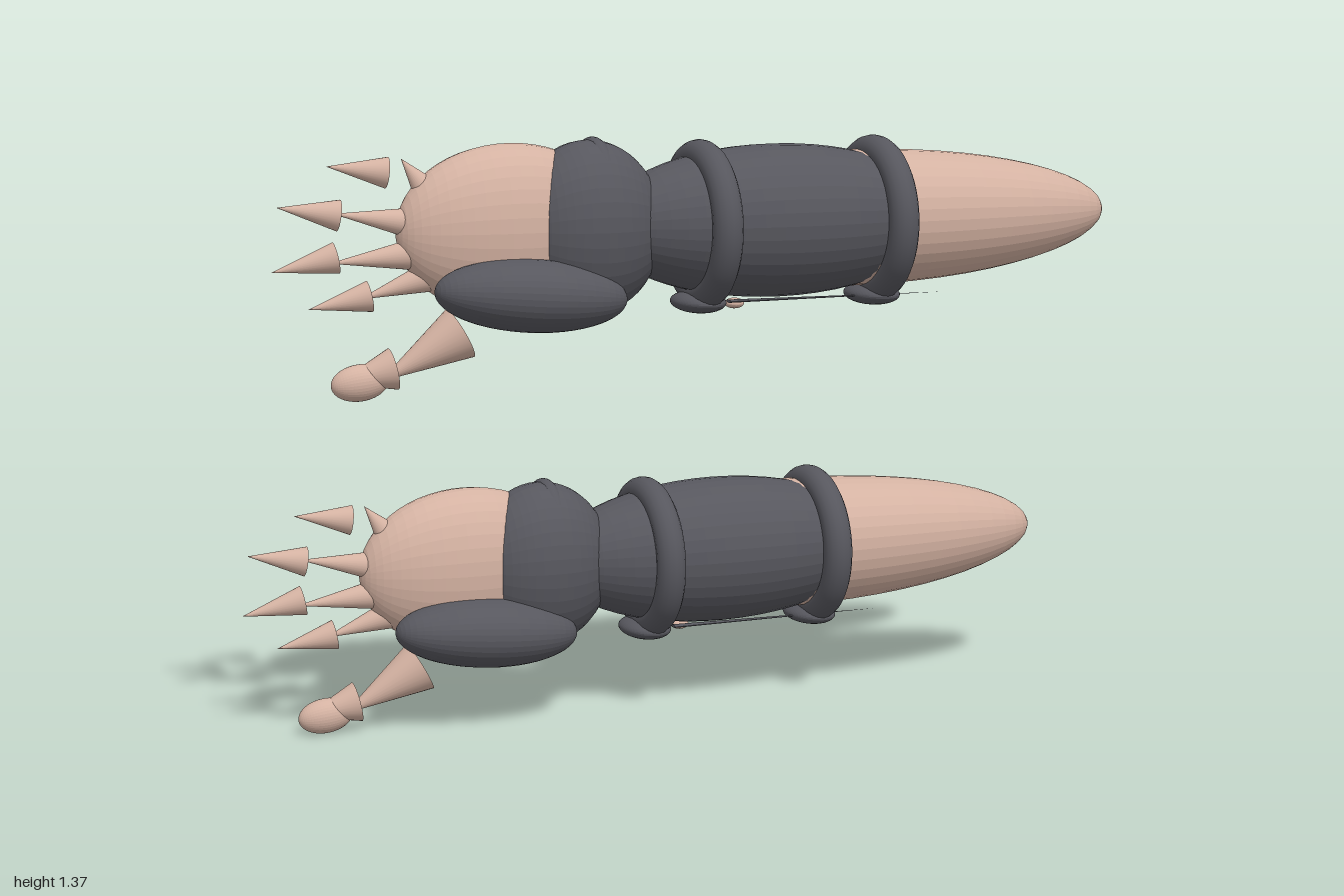
import * as THREE from 'three';

const skin = new THREE.MeshStandardMaterial({ color: 0xd4b2a2 });
skin.name = 'skin';
const cloth = new THREE.MeshStandardMaterial({ color: 0x57575e });
cloth.name = 'charcoal';

const V = (p) => new THREE.Vector3(...p);

function addMesh(parent, name, geometry, material) {
  const mesh = new THREE.Mesh(geometry, material);
  mesh.name = name;
  parent.add(mesh);
  return mesh;
}

// Faceted ellipsoid with its poles along x
function ellipsoid(parent, name, material, center, radii, tilt = 0) {
  const geo = new THREE.SphereGeometry(1, 36, 28).rotateZ(Math.PI / 2).scale(...radii).toNonIndexed();
  geo.computeVertexNormals();
  const mesh = addMesh(parent, name, geo, material);
  mesh.position.set(...center);
  mesh.rotation.z = tilt;
  return mesh;
}

// Cone from the centre of its base to its apex
function cone(parent, name, material, base, apex, radius) {
  const a = V(base), b = V(apex), axis = b.clone().sub(a);
  const mesh = addMesh(parent, name, new THREE.ConeGeometry(radius, axis.length(), 28), material);
  mesh.position.copy(a).add(b).multiplyScalar(0.5);
  mesh.quaternion.setFromUnitVectors(new THREE.Vector3(0, 1, 0), axis.normalize());
  return mesh;
}

// Band around the arm axis
function band(parent, name, x, z, radius, tube, depth = 1) {
  const geo = new THREE.TorusGeometry(radius, tube, 16, 56).rotateY(Math.PI / 2).scale(1, 1, depth);
  addMesh(parent, name, geo, cloth).position.set(x, 1.173, z);
}

function buildArm() {
  const arm = new THREE.Group();

  // Forearm and sleeve
  ellipsoid(arm, 'forearm', skin, [0.35, 1.174, 0.146], [0.647, 0.155, 0.157]);
  ellipsoid(arm, 'sleeve', cloth, [0.15, 1.176, 0.16], [0.42, 0.172, 0.17]);
  band(arm, 'sleeveBandWrist', -0.032, 0.166, 0.155, 0.034);
  band(arm, 'sleeveBandElbow', 0.395, 0.166, 0.155, 0.034);

  // Fastenings under the sleeve
  for (const x of [-0.035, 0.395]) {
    ellipsoid(arm, 'bandKnot', cloth, [x, 1.0, 0.158], [0.058, 0.025, 0.087]);
  }
  ellipsoid(arm, 'button', skin, [0.078, 0.985, 0.1], [0.022, 0.012, 0.022]);
  const lace = cone(arm, 'lace', cloth, [0.03, 1.0, 0.18], [0.56, 0.998, 0.18], 0.012);
  lace.scale.x = 0.3;

  // Hand, cuff and palm guard
  ellipsoid(arm, 'hand', skin, [-0.47, 1.176, 0.136], [0.257, 0.187, 0.112]);
  ellipsoid(arm, 'cuff', cloth, [-0.295, 1.174, 0.155], [0.168, 0.193, 0.135]);
  band(arm, 'cuffBand', -0.28, 0.147, 0.18, 0.02, 0.7);
  ellipsoid(arm, 'palmGuard', cloth, [-0.455, 1.04, 0.235], [0.218, 0.08, 0.1], -0.08);

  // Fingers: knuckle base, knuckle apex, claw base, claw tip (x, y)
  const fingers = [
    [[-0.65, 1.255], [-0.712, 1.335], [-0.745, 1.306], [-0.875, 1.322]],
    [[-0.68, 1.195], [-0.865, 1.222], [-0.853, 1.218], [-0.985, 1.238]],
    [[-0.68, 1.13], [-0.875, 1.116], [-0.86, 1.128], [-1.0, 1.1]],
    [[-0.645, 1.083], [-0.81, 1.036], [-0.787, 1.042], [-0.92, 1.018]],
  ];
  for (const [a, b, c, d] of fingers) {
    cone(arm, 'fingerKnuckle', skin, [...a, 0.137], [...b, 0.128], 0.036);
    cone(arm, 'fingerTip', skin, [...c, 0.13], [...d, 0.119], 0.034);
  }

  // Thumb
  cone(arm, 'thumbBase', skin, [-0.595, 0.957, 0.163], [-0.775, 0.86, 0.155], 0.06);
  cone(arm, 'thumbJoint', skin, [-0.745, 0.886, 0.157], [-0.87, 0.86, 0.15], 0.046);
  ellipsoid(arm, 'thumbTip', skin, [-0.818, 0.859, 0.151], [0.064, 0.04, 0.036], 0.1);
  return arm;
}

export function createModel() {
  const model = new THREE.Group();
  model.name = 'armPair';

  const upper = buildArm();
  upper.name = 'upperArm';
  const lower = buildArm();
  lower.name = 'lowerArm';
  lower.position.set(0, -0.815, -0.329);
  model.add(upper, lower);
  return model;
}
